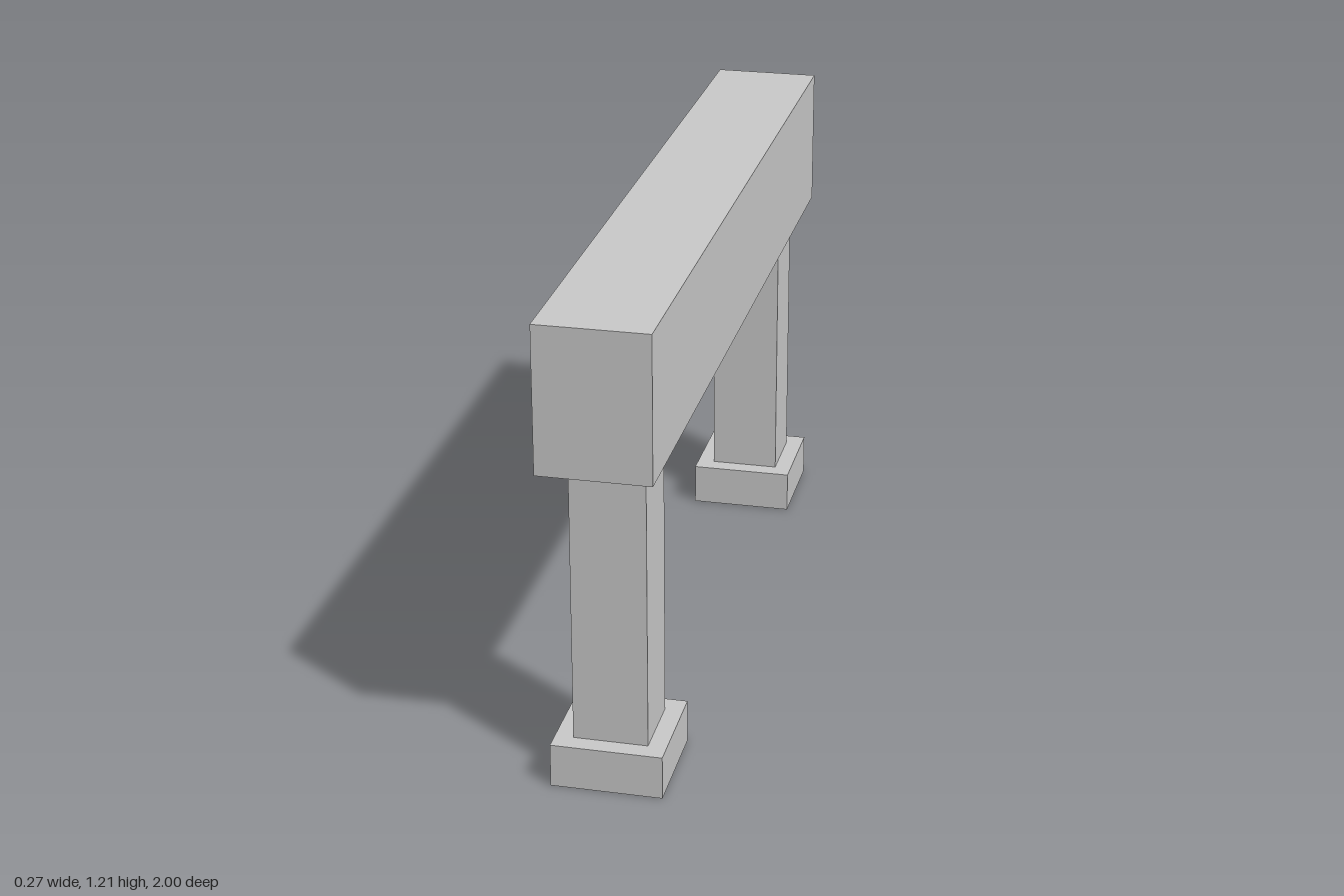
import * as THREE from 'three';

const BEAM_BOTTOM = 0.845, BEAM_TOP = 1.207, FOOT_TOP = 0.11;

export function createModel() {
  const model = new THREE.Group();
  const material = new THREE.MeshStandardMaterial({ color: 0xcccccc, flatShading: true });

  // Square-cornered block spanning two heights
  const addBlock = (parent, name, width, depth, bottom, top) => {
    const mesh = new THREE.Mesh(new THREE.BoxGeometry(width, top - bottom, depth), material);
    mesh.name = name;
    mesh.position.y = (bottom + top) / 2;
    parent.add(mesh);
  };

  // Long beam across the top
  addBlock(model, 'beam', 0.272, 2, BEAM_BOTTOM, BEAM_TOP);

  // Supports, slightly uneven in their distance from the centre
  for (const [name, z] of [['frontSupport', 0.788], ['backSupport', -0.809]]) {
    const support = new THREE.Group();
    support.name = name;
    support.position.z = z;
    addBlock(support, 'post', 0.182, 0.179, FOOT_TOP, BEAM_BOTTOM);
    addBlock(support, 'foot', 0.272, 0.272, 0, FOOT_TOP);
    model.add(support);
  }
  return model;
}
